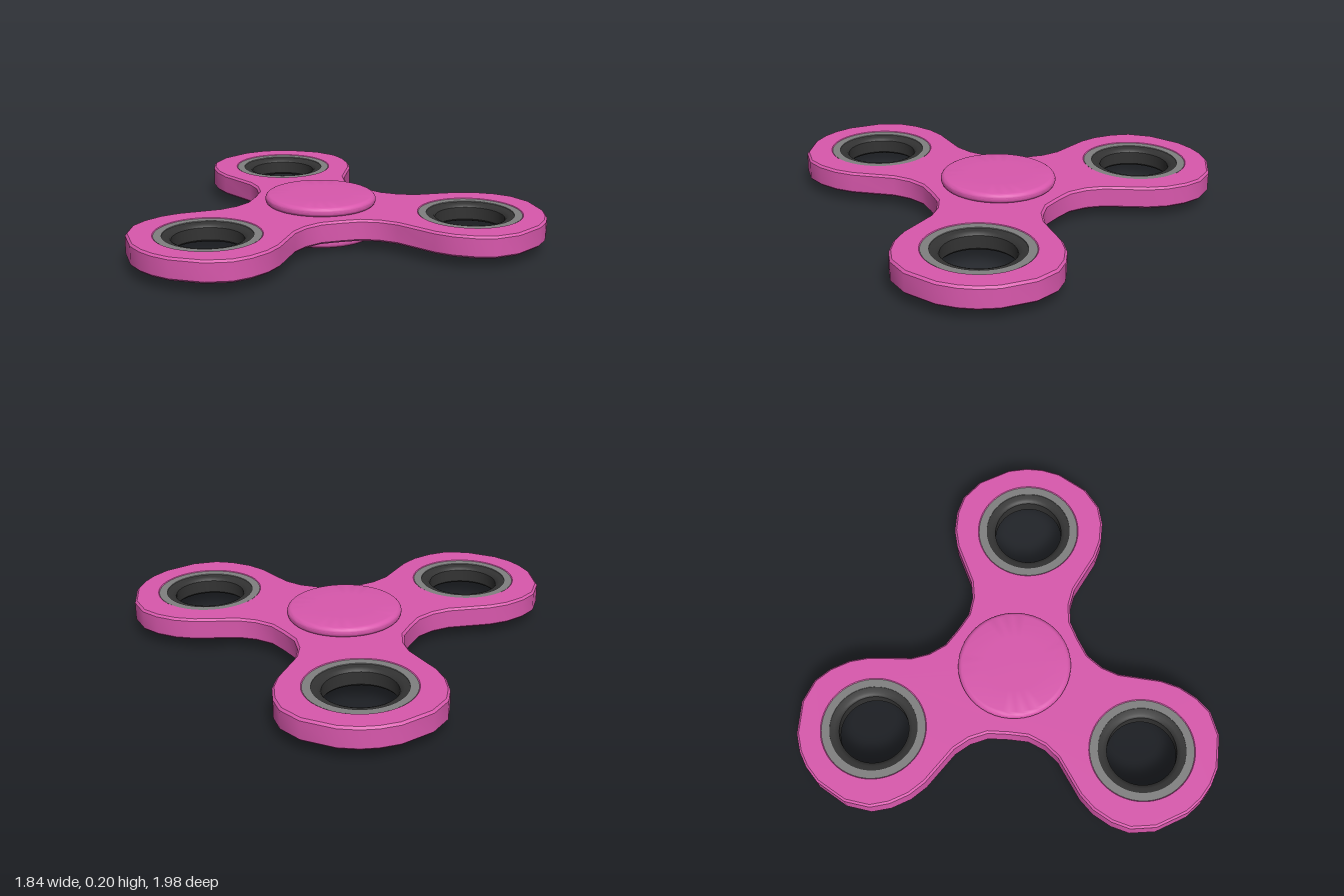
import * as THREE from 'three';
import { toCreasedNormals } from 'three/addons/utils/BufferGeometryUtils.js';

const HUB_X = 0.17, ARM = 0.732, BOTTOM = 0.055, TOP = 0.16;
const MID = (BOTTOM + TOP) / 2;
const ANGLES = [0, 1, 2].map(k => Math.PI + k * Math.PI * 2 / 3);

const material = color => new THREE.MeshStandardMaterial({ color });
const pink = material(0xd958ad), grey = material(0x808080), dark = material(0x333333);

// half outline of one arm: [distance along arm, half width], valley to tip
const HALF = [
  [0.17, 0.295], [0.255, 0.25], [0.345, 0.24], [0.43, 0.255], [0.615, 0.345], [0.705, 0.368],
  [0.805, 0.368], [0.895, 0.345], [0.99, 0.27], [1.07, 0.13], [1.09, 0.04],
];

function lathe(name, points, mat, segments = 48) {
  const profile = points.map(p => new THREE.Vector2(p[0], p[1]));
  const geometry = toCreasedNormals(new THREE.LatheGeometry(profile, segments), 0.6);
  const mesh = new THREE.Mesh(geometry, mat);
  mesh.name = name;
  return mesh;
}

// three-lobed plate with a round opening in each lobe
function createBody() {
  const side = HALF.map(([u, w]) => [u, -w]);
  const arm = [...side, ...HALF.slice(1).reverse()];
  const outline = [], holes = [];
  for (const a of ANGLES) {
    const c = Math.cos(a), s = Math.sin(a);
    for (const [u, w] of arm) outline.push(new THREE.Vector2(u * c - w * s, u * s + w * c));
    holes.push(new THREE.Path().absarc(ARM * c, ARM * s, 0.24, 0, Math.PI * 2, true));
  }
  const shape = new THREE.Shape(outline);
  shape.holes = holes;
  const bevel = 0.01;
  const geometry = new THREE.ExtrudeGeometry(shape, {
    depth: TOP - BOTTOM - 2 * bevel, bevelThickness: bevel, bevelSize: bevel,
    bevelOffset: -bevel, bevelSegments: 1, curveSegments: 40,
  });
  geometry.translate(0, 0, BOTTOM + bevel).rotateX(-Math.PI / 2);
  const mesh = new THREE.Mesh(toCreasedNormals(geometry, 0.6), pink);
  mesh.name = 'body';
  return mesh;
}

// round finger button with a fully rounded rim and a faint dome
function createCap(name, y, flip) {
  const r = 0.024, points = [[0, -r]];
  for (let i = 0; i <= 10; i++) {
    const t = -Math.PI / 2 + Math.PI * i / 10;
    points.push([0.246 + r * Math.cos(t), r * Math.sin(t)]);
  }
  points.push([0.14, r + 0.001], [0, r + 0.002]);
  const cap = lathe(name, points, pink);
  cap.position.y = y;
  if (flip) cap.rotation.x = Math.PI;
  return cap;
}

// grey outer race and dark inner ring, both open through the middle
function createBearing() {
  const bearing = new THREE.Group();
  bearing.name = 'bearing';
  const h = 0.05, d = 0.047;
  bearing.add(
    lathe('outerRace', [[0.208, -h], [0.246, -h], [0.246, h], [0.208, h], [0.208, -h]], grey),
    lathe('innerRing', [
      [0.165, -0.03], [0.172, -0.039], [0.185, -0.044], [0.215, -d],
      [0.215, d], [0.185, 0.044], [0.172, 0.039], [0.165, 0.03], [0.165, -0.03],
    ], dark),
  );
  return bearing;
}

export function createModel() {
  const model = new THREE.Group();
  model.name = 'spinner';
  model.position.x = HUB_X;

  model.add(createBody());
  model.add(createCap('topCap', 0.179, false), createCap('bottomCap', 0.027, true));

  for (const a of ANGLES) {
    const bearing = createBearing();
    bearing.position.set(ARM * Math.cos(a), MID, -ARM * Math.sin(a));
    model.add(bearing);
  }

  const root = new THREE.Group();
  root.name = 'model';
  root.add(model);
  return root;
}
